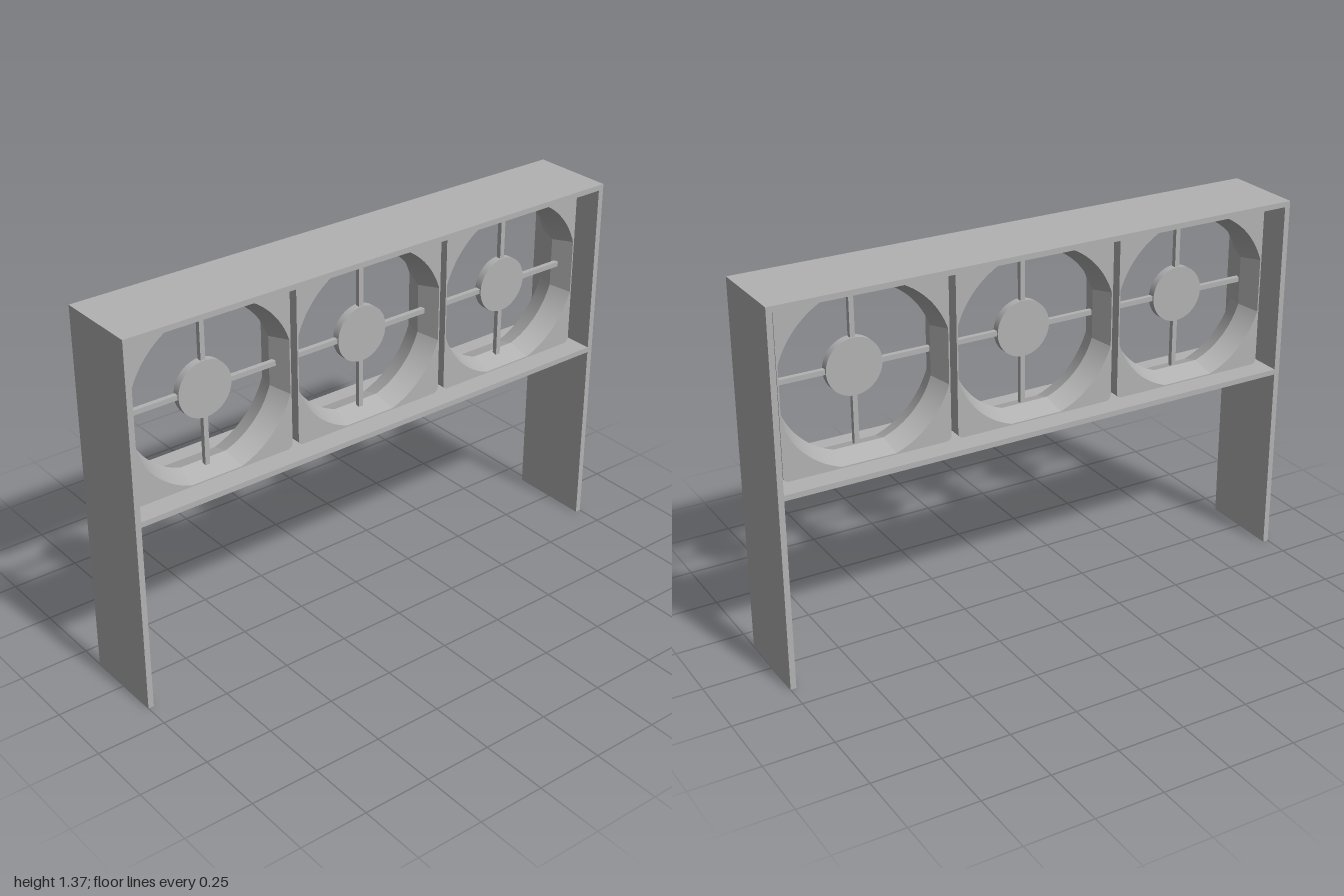
import * as THREE from 'three';
import { toCreasedNormals } from 'three/addons/utils/BufferGeometryUtils.js';

const grey = new THREE.MeshStandardMaterial({ color: 0xb2b2b2 });
grey.name = 'grey';

const DEPTH = 0.31, HEIGHT = 1.367, WALL = 0.021;
const FAN_Y = 1.034, FAN_HALF = 0.307, FAN_DEPTH = 0.16, PITCH = 0.64;

function add(parent, name, geometry, x = 0, y = 0, z = 0) {
  const mesh = new THREE.Mesh(geometry, grey);
  mesh.name = name;
  mesh.position.set(x, y, z);
  parent.add(mesh);
  return mesh;
}

// Square fan housing; its flat-sided round bore narrows to a throat halfway
function housingGeometry() {
  const corner = 0.02, c = FAN_HALF - corner;
  const bore = 0.318, flat = Math.acos(0.302 / bore), throat = 0.911;
  const shape = new THREE.Shape();
  const hole = new THREE.Path();
  const centres = [[c, c], [-c, c], [-c, -c], [c, -c]];
  centres.forEach(([x, y], i) => {
    const a = i * Math.PI / 2, b = a + Math.PI / 2;
    shape.absarc(x, y, corner, a, b, false);
    hole.absarc(0, 0, bore, a + flat, b - flat, false);
  });
  shape.closePath();
  hole.closePath();
  shape.holes.push(hole);
  const geo = new THREE.ExtrudeGeometry(shape, {
    depth: FAN_DEPTH, steps: 2, bevelEnabled: false, curveSegments: 12,
  });
  geo.translate(0, 0, -FAN_DEPTH / 2);
  const p = geo.attributes.position;
  for (let i = 0; i < p.count; i++) {
    const x = p.getX(i), y = p.getY(i);
    if (Math.abs(p.getZ(i)) < 0.001 && Math.hypot(x, y) < 0.33) p.setXY(i, x * throat, y * throat);
  }
  return toCreasedNormals(geo, 0.2);
}

export function createModel() {
  const model = new THREE.Group();
  model.name = 'fanStand';

  // Outer frame: two long side panels, a top and a shelf
  const side = new THREE.BoxGeometry(WALL, HEIGHT, DEPTH);
  add(model, 'leftPanel', side, 1 - WALL / 2, HEIGHT / 2);
  add(model, 'rightPanel', side, -1 + WALL / 2, HEIGHT / 2);
  const board = new THREE.BoxGeometry(2 - 2 * WALL, 0.02, DEPTH);
  add(model, 'topPanel', board, 0, HEIGHT - 0.01);
  add(model, 'shelf', board, 0, 0.713);

  // Three fans in a row
  const housing = housingGeometry();
  const hub = new THREE.CylinderGeometry(0.102, 0.102, 0.028, 48).rotateX(Math.PI / 2);
  const spoke = new THREE.BoxGeometry(0.19, 0.018, 0.018);
  for (let i = -1; i <= 1; i++) {
    const fan = new THREE.Group();
    fan.name = 'fan';
    fan.position.set(i * PITCH, FAN_Y, 0);
    add(fan, 'housing', housing);
    add(fan, 'hub', hub, 0, 0, 0.02);
    for (let k = 0; k < 4; k++) {
      const a = k * Math.PI / 2;
      add(fan, 'spoke', spoke, 0.187 * Math.cos(a), 0.187 * Math.sin(a), 0.02).rotation.z = a;
    }
    model.add(fan);
  }
  return model;
}
